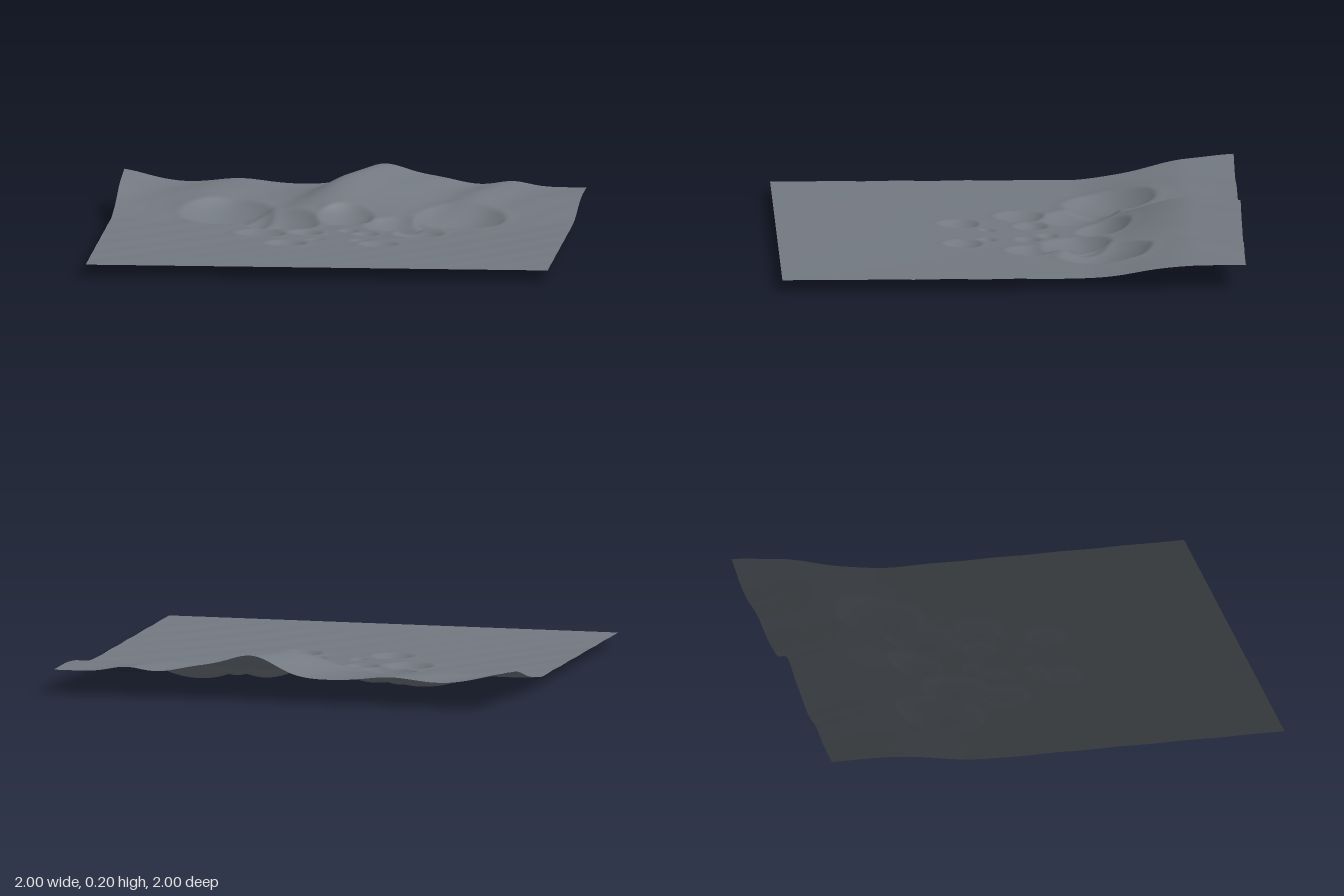
import * as THREE from 'three';

// craters: x, z, radius
const CRATERS = [
  [-0.505, -0.45, 0.2], [-0.27, -0.32, 0.17], [0.01, -0.41, 0.12], [0.25, -0.29, 0.15], [0.5, -0.41, 0.2],
  [-0.335, -0.06, 0.11], [-0.14, -0.1, 0.075], [0.04, -0.17, 0.045], [0.12, -0.08, 0.058], [0.35, -0.09, 0.11],
  [-0.08, 0.09, 0.036], [0.11, 0.095, 0.042], [-0.2, 0.21, 0.09], [0.2, 0.2, 0.085],
];

// hills along the back edge: x, height, width
const HILLS = [
  [-1.05, 0.06, 0.2], [-0.5, 0.022, 0.15], [0.12, 0.09, 0.15], [0.35, 0.035, 0.15], [0.68, 0.024, 0.1],
];

const bell = (d, w) => Math.exp(-((d / w) ** 2));

// raised back with ridges that drift diagonally towards the front
function ridge(x, z) {
  const rise = THREE.MathUtils.smoothstep(-z, 0.28, 0.8);
  const u = x + 0.45 * (z + 1);
  return rise * HILLS.reduce((h, [hx, hh, w]) => h + hh * bell(u - hx, w), 0.055);
}

// bowl with a low soft rim
function crater(x, z, [cx, cz, r]) {
  const d = Math.hypot(x - cx, z - cz) / r;
  if (d > 1.6) return 0;
  const depth = 0.005 + 0.21 * r;
  const bowl = d < 1 ? -depth * (1 - d * d) : 0;
  return bowl + 0.02 * r * bell(d - 1.05, 0.18);
}

function height(x, z) {
  const sag = 0.019 * (1 - x * x) * (1 - z * z);
  const ripple = 0.001 * Math.sin((x + 0.8 * z) * 27) * (1 - z ** 8);
  const pits = CRATERS.reduce((h, c) => h + crater(x, z, c), 0);
  return Math.max(0, 0.05 - sag + ripple + ridge(x, z) + pits);
}

export function createModel() {
  const group = new THREE.Group();
  const rock = new THREE.MeshStandardMaterial({ color: 0x737981, side: THREE.DoubleSide });
  rock.name = 'grey rock';

  // ground sheet shaped by the height rule
  const geo = new THREE.PlaneGeometry(2, 2, 200, 200).rotateX(-Math.PI / 2);
  const pos = geo.attributes.position;
  for (let i = 0; i < pos.count; i++) pos.setY(i, height(pos.getX(i), pos.getZ(i)));
  geo.computeVertexNormals();

  const ground = new THREE.Mesh(geo, rock);
  ground.name = 'crateredGround';
  group.add(ground);
  return group;
}
